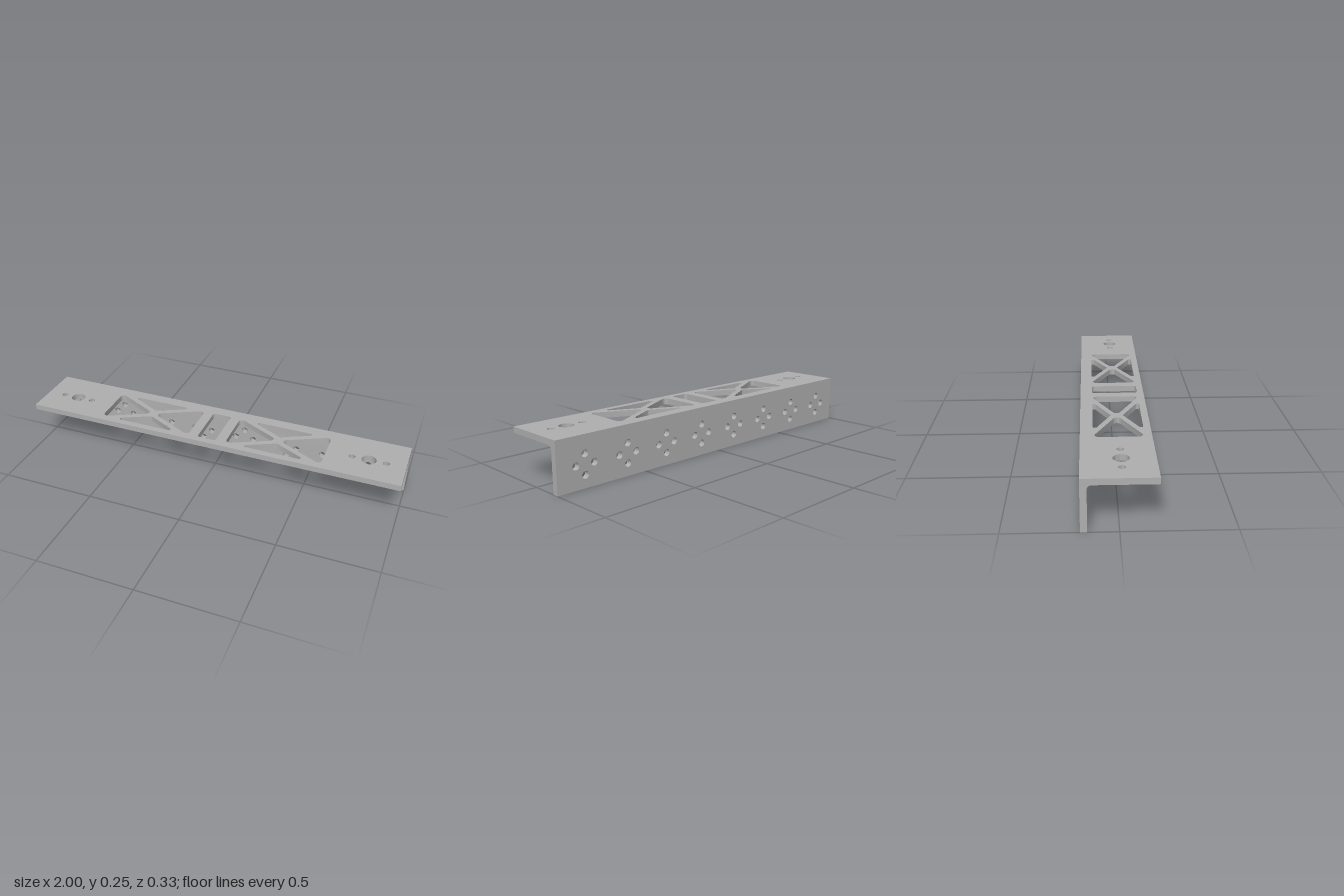
import * as THREE from 'three';
import { toCreasedNormals } from 'three/addons/utils/BufferGeometryUtils.js';

const T = 0.03;        // plate thickness
const H = 0.25;        // overall height
const D = 0.165;       // half depth
const CZ = -0.013;     // centre line of the top cut-outs (shape y = -z)

function rect(x0, y0, x1, y1) {
  return [[x0, y0], [x1, y0], [x1, y1], [x0, y1]];
}

function circle(x, y, r) {
  return new THREE.Path().absarc(x, y, r, 0, Math.PI * 2, true);
}

// Closed polygon whose corners are rounded with true arcs
function rounded(points, r) {
  const v = points.map(([x, y]) => new THREE.Vector2(x, y));
  const out = [];
  v.forEach((p, i) => {
    const a = v[(i + v.length - 1) % v.length].clone().sub(p).normalize();
    const b = v[(i + 1) % v.length].clone().sub(p).normalize();
    const half = Math.acos(a.dot(b)) / 2;
    const centre = a.clone().add(b).normalize().multiplyScalar(r / Math.sin(half)).add(p);
    const t = r / Math.tan(half);
    const start = a.multiplyScalar(t).add(p).sub(centre).angle();
    let sweep = b.multiplyScalar(t).add(p).sub(centre).angle() - start;
    sweep = Math.atan2(Math.sin(sweep), Math.cos(sweep));
    for (let k = 0; k <= 8; k++) {
      const ang = start + sweep * k / 8;
      out.push(new THREE.Vector2(centre.x + r * Math.cos(ang), centre.y + r * Math.sin(ang)));
    }
  });
  return new THREE.Path(out);
}

function extrude(shape, depth) {
  return new THREE.ExtrudeGeometry(shape, { depth, bevelEnabled: false, curveSegments: 16 });
}

export function createModel() {
  const group = new THREE.Group();
  group.name = 'angleBracket';
  const metal = new THREE.MeshStandardMaterial({ color: 0xb0b0b0 });
  metal.name = 'grey metal';

  const add = (name, geometry) => {
    const mesh = new THREE.Mesh(toCreasedNormals(geometry, 0.6), metal);
    mesh.name = name;
    group.add(mesh);
  };
  const plate = (x0, y0, x1, y1) =>
    new THREE.Shape(rect(x0, y0, x1, y1).map(([x, y]) => new THREE.Vector2(x, y)));

  // Top plate: mounting holes, truss windows and centre slot
  const top = plate(-1, -D, 1, D);
  for (const s of [-1, 1]) {
    top.holes.push(circle(s * 0.817, CZ, 0.037));
    for (const dx of [-0.085, 0.085]) top.holes.push(circle(s * 0.817 + dx, CZ, 0.017));

    const cx = s * 0.352;
    for (const m of [-1, 1]) {
      // Side triangle of the truss
      top.holes.push(rounded([
        [cx + m * 0.003, CZ], [cx + m * 0.25, CZ + 0.123], [cx + m * 0.25, CZ - 0.123],
      ], 0.02));
      // Upper or lower triangle with clipped tips
      top.holes.push(rounded([
        [cx - 0.146, CZ + m * 0.118], [cx + 0.146, CZ + m * 0.118],
        [cx + 0.146, CZ + m * 0.102], [cx, CZ + m * 0.029], [cx - 0.146, CZ + m * 0.102],
      ], 0.005));
    }
  }
  top.holes.push(rounded(rect(-0.05, CZ - 0.118, 0.05, CZ + 0.118), 0.015));
  add('topPlate', extrude(top, T).rotateX(-Math.PI / 2).translate(0, H - T, 0));

  // Back plate: eight clusters of four holes
  const back = plate(-1, 0, 1, H - T);
  for (let i = 0; i < 8; i++) {
    const cx = -0.852 + i * 0.243;
    for (const [dx, dy] of [[0.05, 0], [-0.05, 0], [0, 0.05], [0, -0.05]]) {
      back.holes.push(circle(cx + dx, 0.112 + dy, 0.018));
    }
  }
  add('backPlate', extrude(back, T).translate(0, 0, -D));

  // Concave fillet along the inner corner
  const r = 0.02, inner = D - T, under = H - T;
  const fillet = new THREE.Shape();
  fillet.moveTo(inner, under);
  fillet.lineTo(inner - r, under);
  fillet.absarc(inner - r, under - r, r, Math.PI / 2, 0, true);
  fillet.closePath();
  add('innerFillet', extrude(fillet, 2).rotateY(Math.PI / 2).translate(-1, 0, 0));

  return group;
}
